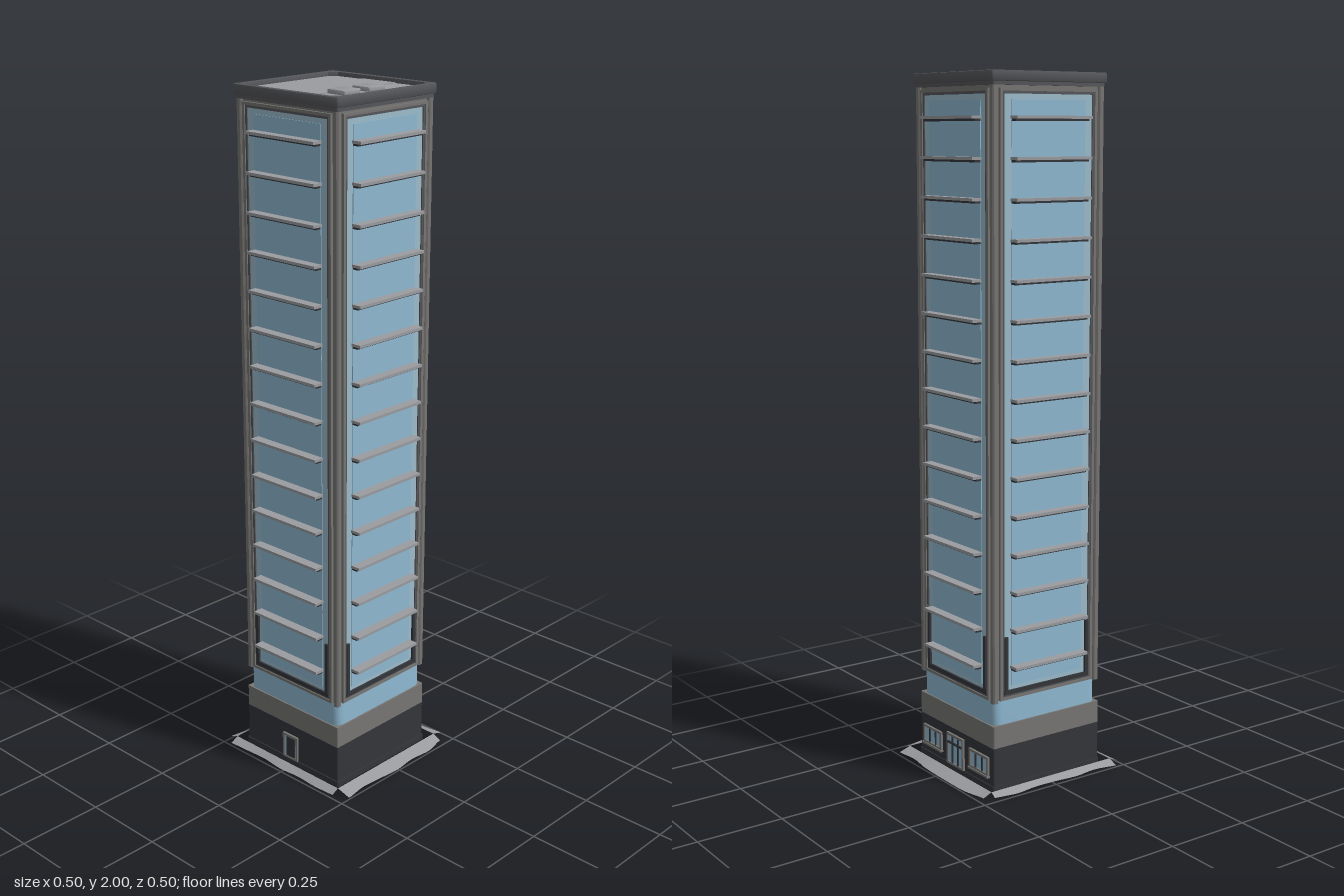
import * as THREE from 'three';
import { toCreasedNormals } from 'three/addons/utils/BufferGeometryUtils.js';

const mat = (color, side = THREE.FrontSide) => new THREE.MeshStandardMaterial({ color, side });
const glass = mat(0x8fb9d2), paleGlass = mat(0x9dbccd), dark = mat(0x34363a), stone = mat(0x777673),
  trim = mat(0x55565a), roofGrey = mat(0x9a9ca0), apron = mat(0x9a9ca0, THREE.DoubleSide);

function add(parent, name, geometry, material, x = 0, y = 0, z = 0) {
  const mesh = new THREE.Mesh(geometry, material);
  mesh.name = name;
  mesh.position.set(x, y, z);
  parent.add(mesh);
  return mesh;
}

// Box given by its centre and size
const box = (parent, name, material, x, y, z, w, h, d) =>
  add(parent, name, new THREE.BoxGeometry(w, h, d), material, x, y, z);

// Square outline with cut or rounded corners
function square(half, cut, round = false, Type = THREE.Shape) {
  const s = new Type(), h = half, k = half - cut;
  s.moveTo(h, -k);
  const corners = [[h, k, h, h, k, h], [-k, h, -h, h, -h, k], [-h, -k, -h, -h, -k, -h], [k, -h, h, -h, h, -k]];
  for (const [ax, ay, cx, cy, bx, by] of corners) {
    s.lineTo(ax, ay);
    if (round) s.quadraticCurveTo(cx, cy, bx, by);
    else s.lineTo(bx, by);
  }
  return s;
}

// Raise a plan outline to a given height, with an optional bevel inside that height
function rise(shape, height, bevel = 0) {
  const g = new THREE.ExtrudeGeometry(shape, {
    depth: height - 2 * bevel, bevelEnabled: bevel > 0, bevelSize: bevel, bevelThickness: bevel,
    bevelOffset: -bevel, bevelSegments: 2, curveSegments: 6,
  });
  g.translate(0, 0, bevel).rotateX(-Math.PI / 2);
  return toCreasedNormals(g, 0.6);
}

// Upright rectangular frame facing +z
function frame(w, y0, y1, inW, inY0, inY1, depth) {
  const s = new THREE.Shape([[-w, y0], [w, y0], [w, y1], [-w, y1]].map(p => new THREE.Vector2(...p)));
  s.holes.push(new THREE.Path([[-inW, inY0], [-inW, inY1], [inW, inY1], [inW, inY0]].map(p => new THREE.Vector2(...p))));
  return new THREE.ExtrudeGeometry(s, { depth, bevelEnabled: false });
}

// Sloping strip of ground with a wavy outer edge
function apronStrip(widths) {
  const n = widths.length - 1, inner = 0.2135;
  const edge = new THREE.SplineCurve(widths.map((w, i) => new THREE.Vector2(i / n, w)));
  const g = new THREE.PlaneGeometry(2 * inner, 1, 36, 1).rotateX(-Math.PI / 2);
  const p = g.attributes.position;
  for (let i = 0; i < p.count; i++) {
    const outer = p.getZ(i) > 0, t = p.getX(i) / (2 * inner) + 0.5;
    p.setY(i, outer ? 0.006 : 0.018);
    p.setZ(i, inner + (outer ? edge.getPoint(t).y : 0));
  }
  g.computeVertexNormals();
  return g;
}

// One face of the tower, facing +z
function towerSide() {
  const side = new THREE.Group();
  side.name = 'towerSide';
  add(side, 'outerFrame', frame(0.164, 0.267, 1.955, 0.155, 0.275, 1.947, 0.01), stone, 0, 0, 0.178);
  add(side, 'innerFrame', frame(0.155, 0.275, 1.947, 0.148, 0.29, 1.94, 0.007), trim, 0, 0, 0.178);
  box(side, 'glassBorder', paleGlass, 0, 1.115, 0.1795, 0.296, 1.65, 0.005);
  box(side, 'glassPanel', glass, 0, 1.115, 0.1815, 0.248, 1.62, 0.005);
  for (let i = 0; i < 15; i++) {
    const y = 0.36 + i * 0.1085;
    box(side, 'sunshade', roofGrey, 0, y, 0.198, 0.254, 0.008, 0.031);
    box(side, 'sunshadeBracket', dark, 0, y - 0.007, 0.192, 0.248, 0.006, 0.02);
  }
  // Dark brackets around the bottom of the glass
  for (const s of [-1, 1]) box(side, 'lowerBracket', dark, s * 0.143, 0.37, 0.184, 0.011, 0.16, 0.01);
  box(side, 'lowerSill', dark, 0, 0.287, 0.183, 0.3, 0.012, 0.01);
  return side;
}

// Framed pane, used for doors and ground floor windows
function pane(parent, name, x, y0, w, h, bars) {
  const g = new THREE.Group();
  g.name = name;
  g.position.set(x, y0, 0.186);
  add(g, 'frame', frame(w / 2, 0, h, w / 2 - 0.007, 0.006, h - 0.007, 0.009), stone);
  box(g, 'glass', glass, 0, h / 2, 0.002, w - 0.012, h - 0.012, 0.005);
  for (let i = 1; i <= bars; i++) box(g, 'bar', dark, w * (i / (bars + 1) - 0.5), h / 2, 0.005, 0.005, h - 0.012, 0.006);
  parent.add(g);
}

export function createModel() {
  const model = new THREE.Group();
  model.name = 'towerBlock';
  const tower = new THREE.Group();
  tower.name = 'tower';
  tower.position.set(-0.008, 0, 0.006);
  model.add(tower);

  // Base
  add(tower, 'plinth', rise(square(0.191, 0.003), 0.018), dark);
  add(tower, 'groundFloor', rise(square(0.188, 0.002), 0.112), dark, 0, 0.018);
  add(tower, 'baseBand', rise(square(0.188, 0.002), 0.065), stone, 0, 0.13);
  add(tower, 'glassBand', rise(square(0.183, 0.03, true), 0.072), glass, 0, 0.195);

  // Shaft with a chamfered post on each corner
  add(tower, 'shaft', rise(square(0.18, 0.012), 1.71), stone, 0, 0.262);
  for (const x of [-1, 1]) for (const z of [-1, 1])
    add(tower, 'cornerPost', rise(square(0.0095, 0.004), 1.71), stone, x * 0.1785, 0.262, z * 0.1785);

  // Four faces and the ground strips beside them: front, right, back, left
  const widths = [
    [0.026, 0.023, 0.020, 0.027, 0.022, 0.026, 0.023],
    [0.045, 0.035, 0.040, 0.045, 0.037, 0.043, 0.028],
    [0.037, 0.030, 0.040, 0.043, 0.044, 0.042, 0.027],
    [0.016, 0.026, 0.018, 0.020, 0.026, 0.018, 0.030],
  ];
  widths.forEach((w, i) => {
    const side = towerSide();
    side.rotation.y = i * Math.PI / 2;
    add(side, 'groundStrip', apronStrip(w), apron);
    tower.add(side);
  });

  // Front door
  const front = new THREE.Group();
  front.name = 'frontEntrance';
  pane(front, 'frontDoor', -0.003, 0.018, 0.06, 0.08, 0);
  box(front, 'doorLeaf', dark, -0.003, 0.053, 0.189, 0.034, 0.07, 0.008);
  tower.add(front);

  // Back entrance with a window on either side
  const back = new THREE.Group();
  back.name = 'backEntrance';
  back.rotation.y = Math.PI;
  pane(back, 'backDoor', 0, 0.018, 0.085, 0.095, 2);
  box(back, 'doorTransom', dark, 0, 0.085, 0.193, 0.075, 0.006, 0.005);
  for (const s of [-1, 1]) {
    pane(back, 'groundWindow', s * 0.12, 0.045, 0.095, 0.055, 2);
    box(back, 'windowSill', stone, s * 0.12, 0.042, 0.192, 0.1, 0.006, 0.012);
  }
  tower.add(back);

  // Crown and roof
  add(tower, 'cornice', rise(square(0.19, 0.01, true), 0.012), trim, 0, 1.962);
  const rim = square(0.195, 0.012, true);
  rim.holes.push(square(0.178, 0.02, false, THREE.Path));
  add(tower, 'crownRim', rise(rim, 0.028, 0.004), trim, 0, 1.972);
  [[-0.176, -0.063, 1.988], [-0.061, 0.06, 1.99], [0.062, 0.176, 1.988]].forEach(([a, b, top]) =>
    box(tower, 'roofPanel', roofGrey, (a + b) / 2, (top + 1.972) / 2, 0, b - a, top - 1.972, 0.352));
  box(tower, 'roofBase', dark, 0, 1.978, 0, 0.352, 0.01, 0.352);
  for (const z of [-0.031, 0.064])
    add(tower, 'roofUnit', rise(square(0.0325, 0.008, true), 0.015, 0.002), roofGrey, 0.094, 1.985, z);
  return model;
}
